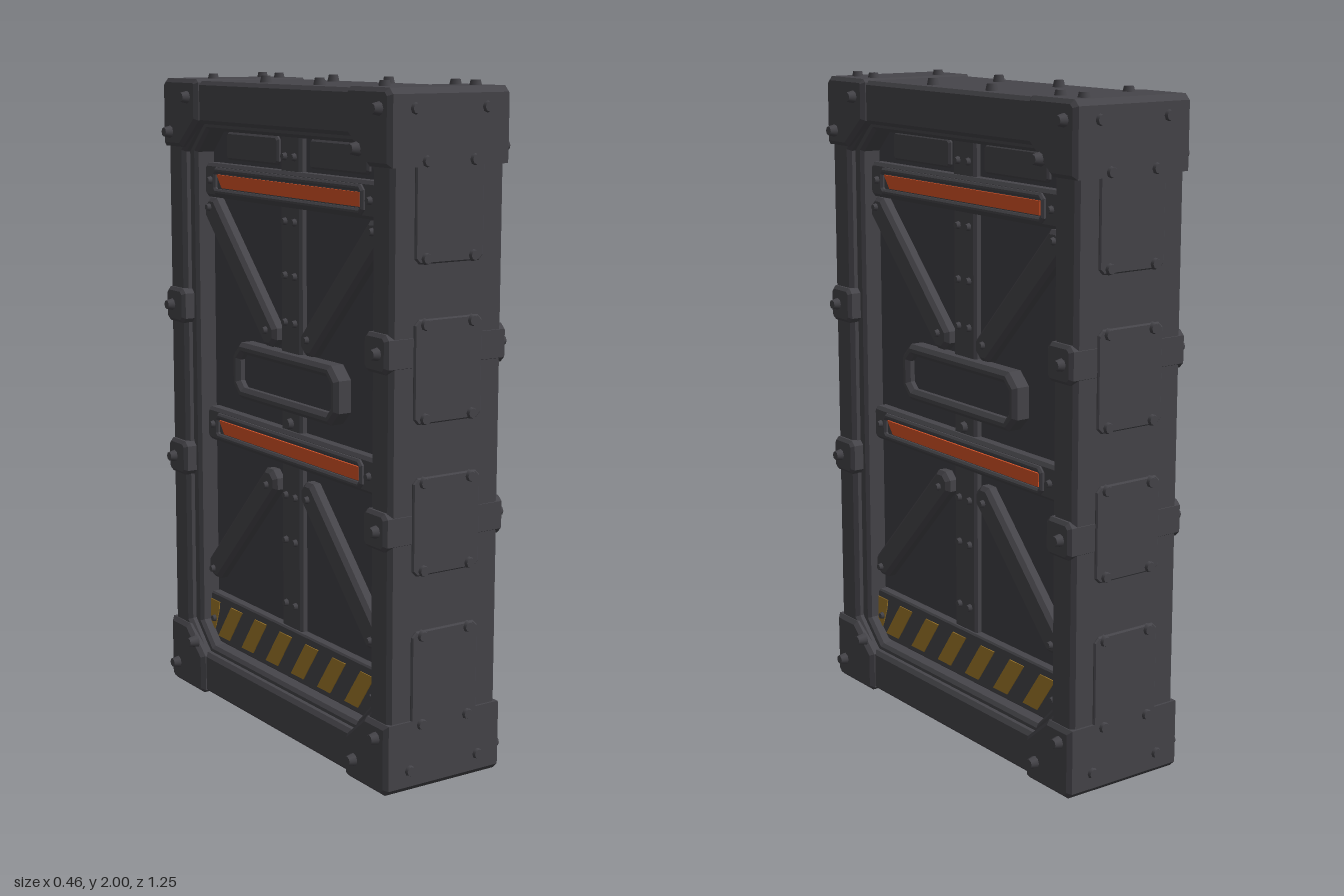
import * as THREE from 'three';

const mat = (name, color) => Object.assign(new THREE.MeshStandardMaterial({ color }), { name });

export function createModel() {
  const steel = mat('dark steel', 0x46454a);
  const panelSteel = mat('panel steel', 0x414045);
  const orange = mat('orange light', 0xd85226);
  const yellow = mat('hazard yellow', 0xa17a2a);

  const root = new THREE.Group();
  root.name = 'armouredDoor';

  const add = (parent, name, geo, material, x = 0, y = 0, z = 0) => {
    const m = new THREE.Mesh(geo, material);
    m.name = name;
    m.position.set(x, y, z);
    parent.add(m);
    return m;
  };
  const points = (pts) => pts.map(([x, y]) => new THREE.Vector2(x, y));
  // Rectangle with cut corners
  const octagon = (x0, y0, x1, y1, c) => points([
    [x0 + c, y0], [x1 - c, y0], [x1, y0 + c], [x1, y1 - c],
    [x1 - c, y1], [x0 + c, y1], [x0, y1 - c], [x0, y0 + c]]);
  // Bevelled plate from an outline, between two depths
  const plate = (outline, d0, d1, bevel = 0.01, hole = null) => {
    const shape = new THREE.Shape(outline);
    if (hole) shape.holes.push(new THREE.Path(hole));
    const geo = new THREE.ExtrudeGeometry(shape, {
      depth: d1 - d0 - 2 * bevel, bevelEnabled: bevel > 0, bevelThickness: bevel,
      bevelSize: bevel, bevelOffset: -bevel, bevelSegments: 1 });
    return geo.translate(0, 0, d0 + bevel);
  };
  const rivetGeo = new THREE.CylinderGeometry(0.014, 0.021, 0.03, 8).rotateX(Math.PI / 2);
  const smallRivetGeo = new THREE.CylinderGeometry(0.009, 0.013, 0.016, 8).rotateX(Math.PI / 2);

  // Everything symmetric through the thickness, drawn in (-z, y)
  const body = new THREE.Group();
  body.name = 'body';
  body.rotation.y = Math.PI / 2;
  root.add(body);
  add(body, 'frame', plate(octagon(-0.61, 0.018, 0.61, 1.98, 0.015), -0.19, 0.19, 0.012,
    octagon(-0.515, 0.15, 0.515, 1.85, 0.09)), steel);
  add(body, 'innerLiner', plate(octagon(-0.53, 0.13, 0.53, 1.87, 0.08), -0.165, 0.165, 0.01,
    octagon(-0.48, 0.17, 0.48, 1.83, 0.07)), steel);
  add(body, 'doorPanel', new THREE.BoxGeometry(1.02, 1.72, 0.2), panelSteel, 0, 1, 0);

  // Corner armour and side brackets wrap the full thickness
  for (const sx of [-1, 1]) {
    for (const top of [false, true]) {
      const pts = [[0.42, 0.015], [0.6, 0.015], [0.617, 0.032], [0.617, 0.225], [0.51, 0.225], [0.41, 0.14], [0.41, 0.025]]
        .map(([x, y]) => [sx * x, top ? 2 - y : y]);
      if ((sx < 0) !== top) pts.reverse();
      add(body, 'cornerArmour', plate(points(pts), -0.205, 0.205, 0.012), steel);
    }
    for (const y of [0.78, 1.275])
      add(body, 'sideBracket', plate(octagon(-0.055, -0.055, 0.055, 0.055, 0.015), -0.207, 0.207, 0.01),
        steel, sx * 0.556, y);
  }

  // One decorated face; the other is the same turned half round
  const makeFace = (name) => {
    const face = new THREE.Group();
    face.name = name;
    const rivet = (x, y, d) => add(face, 'rivet', rivetGeo, steel, x, y, d);
    const small = (x, y, d) => add(face, 'smallRivet', smallRivetGeo, steel, x, y, d);

    for (const [x, y] of [[-0.57, 1.82], [-0.46, 1.93], [0.57, 1.93], [0.465, 1.82],
      [-0.57, 0.08], [-0.46, 0.18], [0.57, 0.18], [0.46, 0.08]]) rivet(x, y, 0.213);
    for (const s of [-1, 1]) for (const y of [0.78, 1.275]) rivet(s * 0.57, y, 0.213);

    // Centre column and its paired rivets
    add(face, 'centreColumn', plate(octagon(-0.055, 0.33, 0.055, 1.84, 0.005), 0.09, 0.122, 0.008), steel);
    for (const y of [0.41, 0.61, 0.75, 1.28, 1.42, 1.58, 1.77])
      for (const s of [-1, 1]) small(s * 0.026, y, 0.126);
    rivet(0, 0.975, 0.122);

    // Upper infill plates
    for (const s of [-1, 1])
      add(face, 'upperPlate', plate(octagon(-0.15, 1.74, 0.15, 1.825, 0.01), 0.09, 0.112, 0.006),
        steel, s * 0.235);

    // Diagonal braces, upper and lower pairs
    for (const s of [-1, 1]) for (const [yOut, yIn] of [[1.59, 1.225], [0.42, 0.785]]) {
      const dx = 0.35, dy = yIn - yOut, len = Math.hypot(dx, dy) + 0.05;
      const brace = add(face, 'diagonalBrace',
        plate(octagon(-len / 2, -0.042, len / 2, 0.042, 0.025), 0.09, 0.138, 0.012),
        steel, s * 0.275, (yOut + yIn) / 2);
      brace.rotation.z = Math.atan2(dy, -s * dx);
      small(s * 0.445, yOut, 0.142);
      small(s * 0.115, yIn + Math.sign(yOut - yIn) * 0.02, 0.142);
    }

    // Cross beams with recessed light strips
    for (const y of [0.9, 1.675]) {
      add(face, 'crossBeam', plate(octagon(-0.475, y - 0.053, 0.475, y + 0.053, 0.012), 0.09, 0.138, 0.01), steel);
      add(face, 'beamRim', plate(octagon(-0.41, y - 0.042, 0.41, y + 0.042, 0.015), 0.13, 0.15, 0.006,
        octagon(-0.395, y - 0.024, 0.395, y + 0.024, 0.005)), steel);
      add(face, 'lightStrip', plate(points([[-0.36, y - 0.02], [0.39, y - 0.02], [0.39, y + 0.02], [-0.39, y + 0.02]]),
        0.135, 0.144, 0), orange);
      for (const s of [-1, 1]) small(s * 0.435, y, 0.143);
    }

    // Central handle frame
    add(face, 'handleFrame', plate(octagon(-0.29, 1.015, 0.29, 1.19, 0.04), 0.09, 0.155, 0.012,
      octagon(-0.255, 1.05, 0.255, 1.155, 0.02)), steel);
    add(face, 'handleRecess', plate(octagon(-0.27, 1.03, 0.27, 1.175, 0.02), 0.09, 0.128, 0), panelSteel);

    // Hazard strip: slanted stripes with cut ends
    add(face, 'hazardPlate', plate(octagon(-0.48, 0.175, 0.48, 0.335, 0.01), 0.09, 0.13, 0.005), steel);
    const y0 = 0.195, y1 = 0.31;
    const stripes = [
      [[-0.475, 0.21], [-0.462, y0], [-0.445, 0.225], [-0.425, 0.28], [-0.42, y1], [-0.475, y1]],
      [[0.435, y0], [0.475, y0], [0.475, 0.265]]];
    for (let i = 0; i < 6; i++) {
      const x = -0.43 + i * 0.147;
      stripes.push([[x, y0], [x + 0.07, y0], [x + 0.152, y1], [x + 0.082, y1]]);
    }
    for (const s of stripes) add(face, 'hazardStripe', plate(points(s), 0.128, 0.133, 0), yellow);
    for (const s of [-1, 1]) small(s * 0.45, 0.25, 0.135);
    return face;
  };
  const leftFace = makeFace('leftFace'), rightFace = makeFace('rightFace');
  leftFace.rotation.y = Math.PI / 2;
  rightFace.rotation.y = -Math.PI / 2;
  root.add(leftFace, rightFace);

  // Front and back edges: raised panels and rivet rows
  for (const back of [false, true]) {
    const edge = new THREE.Group();
    edge.name = back ? 'backEdge' : 'frontEdge';
    edge.rotation.y = back ? Math.PI : 0;
    root.add(edge);
    for (const [a, b] of [[0.21, 0.47], [0.66, 0.91], [1.09, 1.35], [1.53, 1.79]]) {
      add(edge, 'edgePanel', plate(octagon(-0.115, a - 0.015, 0.115, b + 0.015, 0.015), 0.6, 0.617, 0.004), steel);
      for (const y of [a, b]) for (const s of [-1, 1]) add(edge, 'rivet', rivetGeo, steel, s * 0.08, y, 0.612);
    }
    for (const y of [0.08, 1.93]) for (const s of [-1, 1])
      add(edge, 'rivet', rivetGeo, steel, s * 0.12, y, 0.612);
  }

  // Rivets on top and bottom
  for (const y of [0.015, 1.985]) for (const x of [-0.11, 0.13]) for (const z of [-0.56, -0.46, -0.15, 0.14, 0.46, 0.55]) {
    if (Math.abs(z) > 0.5 && x < 0) continue;
    const r = add(root, 'rivet', rivetGeo, steel, x, y, z);
    r.rotation.x = y > 1 ? -Math.PI / 2 : Math.PI / 2;
  }
  return root;
}
